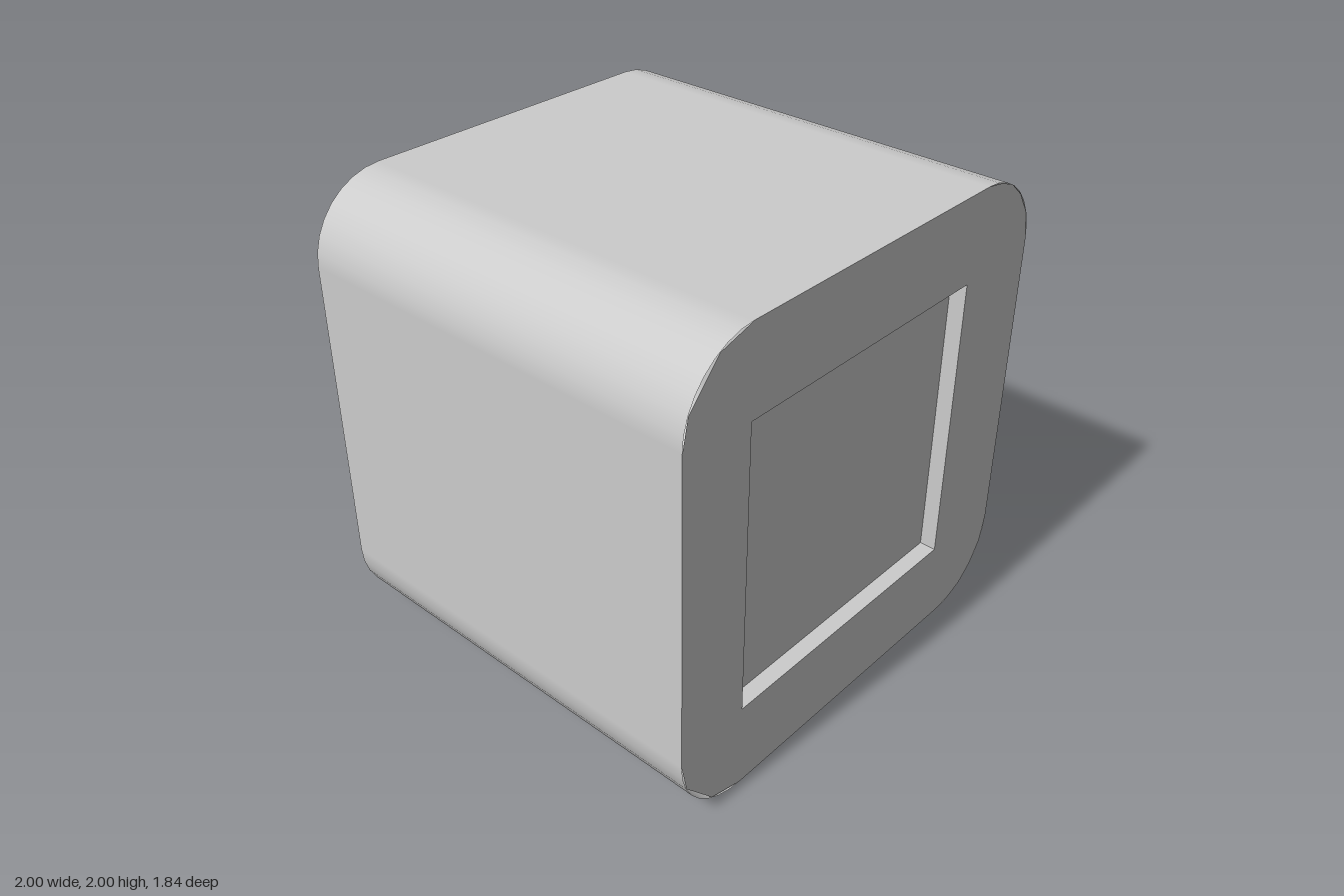
import * as THREE from 'three';

const HALF_DEPTH = 0.92, CORE = 0.67, RADIUS = 0.33, RECESS_DEPTH = 0.07;
const material = new THREE.MeshStandardMaterial({ color: 0xcccccc, side: THREE.DoubleSide });

// Walls of a closed outline (counterclockwise from +z faces outward) between two depths
function walls(outline, back, front) {
  const positions = [];
  outline.forEach((a, i) => {
    const b = outline[(i + 1) % outline.length];
    positions.push(a.x, a.y, back, b.x, b.y, back, b.x, b.y, front);
    positions.push(a.x, a.y, back, b.x, b.y, front, a.x, a.y, front);
  });
  const geometry = new THREE.BufferGeometry();
  geometry.setAttribute('position', new THREE.Float32BufferAttribute(positions, 3));
  geometry.computeVertexNormals();
  return geometry;
}

// Rounded square, with a fine arc at every corner
function roundedOutline(segments) {
  const points = [];
  [[1, 1], [-1, 1], [-1, -1], [1, -1]].forEach(([sx, sy], corner) => {
    for (let i = 0; i <= segments; i++) {
      const angle = (corner + i / segments) * Math.PI / 2;
      points.push(new THREE.Vector2(
        sx * CORE + RADIUS * Math.cos(angle), 1 + sy * CORE + RADIUS * Math.sin(angle)));
    }
  });
  return points;
}

// End cap outline: coarser corners on the -x side
function capShape() {
  const right = [[1, 0.67], [0.973, 0.797], [0.912, 0.89], [0.837, 0.955], [0.757, 0.985], [0.67, 1]];
  const left = [[-0.67, 1], [-0.832, 0.955], [-0.973, 0.797], [-1, 0.67]];
  const top = [...right, ...left];
  const bottom = top.map(([x, y]) => [x, -y]).reverse();
  return new THREE.Shape([...top, ...bottom].map(([x, y]) => new THREE.Vector2(x, 1 + y)));
}

export function createModel() {
  const group = new THREE.Group();
  const add = (name, geometry) => {
    const mesh = new THREE.Mesh(geometry, material);
    mesh.name = name;
    group.add(mesh);
    return mesh;
  };

  // Rounded sleeve: normals point away from the square core, so flats stay flat
  const sleeve = walls(roundedOutline(8), -HALF_DEPTH, HALF_DEPTH);
  const { position, normal } = sleeve.attributes;
  const n = new THREE.Vector3();
  for (let i = 0; i < position.count; i++) {
    const x = position.getX(i), y = position.getY(i) - 1;
    n.set(x - THREE.MathUtils.clamp(x, -CORE, CORE), y - THREE.MathUtils.clamp(y, -CORE, CORE), 0).normalize();
    normal.setXYZ(i, n.x, n.y, n.z);
  }
  add('bodySides', sleeve);

  // Front face with a square opening
  const recess = [[-0.67, 0.375], [0.59, 0.375], [0.59, 1.63], [-0.67, 1.63]]
    .map(([x, y]) => new THREE.Vector2(x, y)).reverse();
  const front = capShape();
  front.holes.push(new THREE.Path(recess));
  add('frontFace', new THREE.ShapeGeometry(front)).position.z = HALF_DEPTH;

  // Plain back face
  const back = add('backFace', new THREE.ShapeGeometry(capShape()).scale(-1, 1, 1).rotateY(Math.PI));
  back.position.z = -HALF_DEPTH;
  const index = back.geometry.index.array;
  for (let i = 0; i < index.length; i += 3) [index[i], index[i + 1]] = [index[i + 1], index[i]];
  back.geometry.computeVertexNormals();

  // Shallow recess: inward walls and floor
  add('recessWalls', walls(recess, HALF_DEPTH - RECESS_DEPTH, HALF_DEPTH));
  add('recessFloor', new THREE.PlaneGeometry(1.26, 1.255))
    .position.set(-0.04, 1.0025, HALF_DEPTH - RECESS_DEPTH);

  return group;
}
